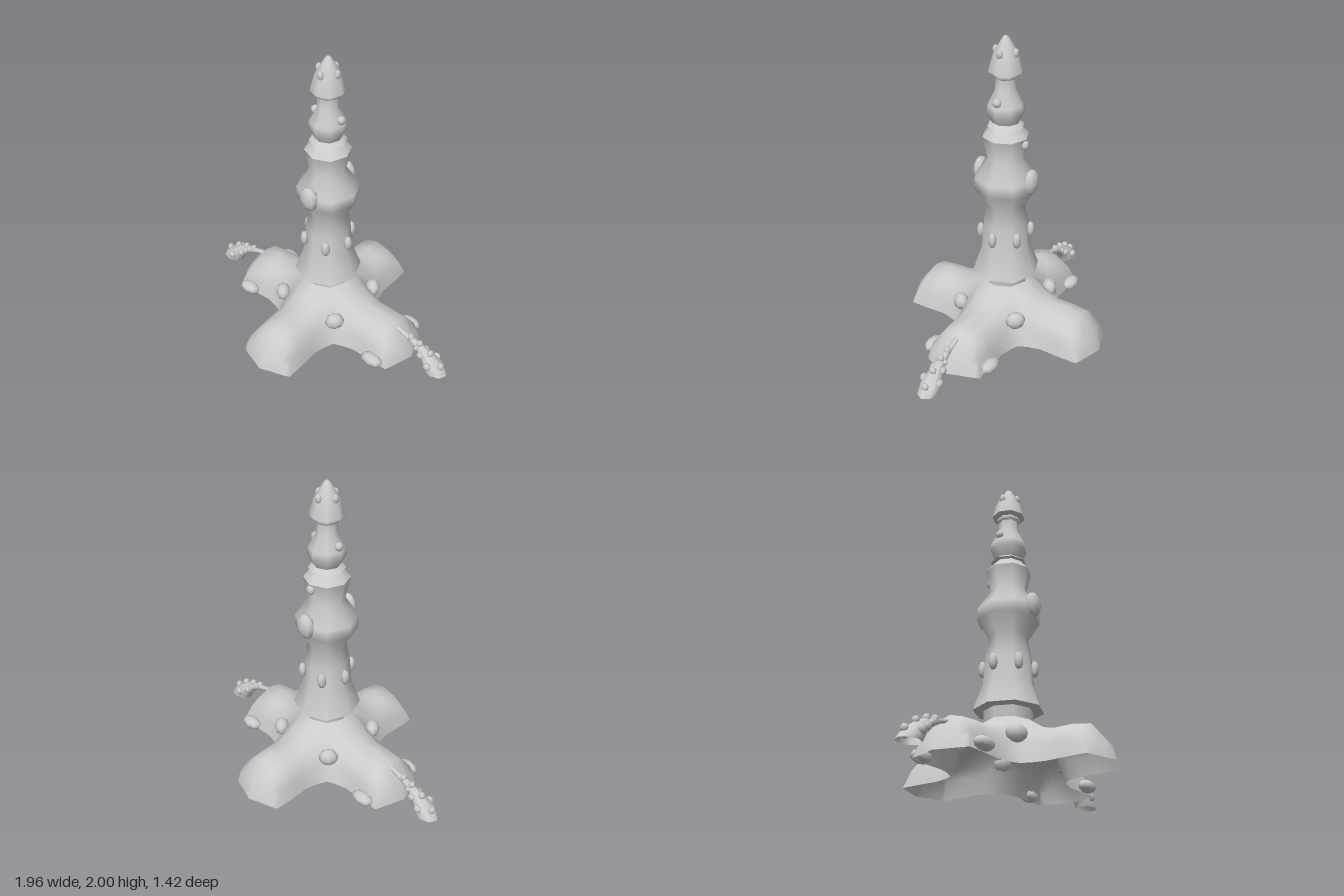
import * as THREE from 'three';
import { mergeVertices } from 'three/addons/utils/BufferGeometryUtils.js';

const material = new THREE.MeshStandardMaterial({ color: 0xcccccc, side: THREE.DoubleSide });

function addMesh(parent, name, geometry) {
  const mesh = new THREE.Mesh(geometry, material);
  mesh.name = name;
  parent.add(mesh);
  return mesh;
}

// Smooth surface from grids of points: grids[g][row][column] = [x, y, z]
function gridGeometry(grids) {
  const pos = [];
  for (const rows of grids) {
    for (let i = 0; i < rows.length - 1; i++) {
      for (let j = 0; j < rows[i].length - 1; j++) {
        const a = rows[i][j], b = rows[i + 1][j], c = rows[i + 1][j + 1], d = rows[i][j + 1];
        pos.push(...a, ...b, ...d, ...b, ...c, ...d);
      }
    }
  }
  const raw = new THREE.BufferGeometry();
  raw.setAttribute('position', new THREE.Float32BufferAttribute(pos, 3));
  const geometry = mergeVertices(raw, 1e-3);
  geometry.computeVertexNormals();
  return geometry;
}

// Eight-sided turned part, profile listed bottom to top as [radius, height]
function turned(parent, name, profile) {
  const points = profile.map(([r, y]) => new THREE.Vector2(r, y));
  addMesh(parent, name, new THREE.LatheGeometry(points, 8));
}

// Low-poly wart, turned to face outward
const wartGeometry = new THREE.SphereGeometry(1, 8, 6);
function wart(parent, [x, y, z], [w, h, d], facing = Math.atan2(x, z)) {
  const mesh = addMesh(parent, 'wart', wartGeometry);
  mesh.position.set(x, y, z);
  mesh.scale.set(w, h, d);
  mesh.rotation.y = facing;
}

// Half cross-sections of one foot lobe, from the tower outward; ridge first, ground last
const LOBE = [
  [[0, 0.34, 0.15], [0.106, 0.34, 0.106], [0.155, 0.26, 0.155], [0.2, 0.16, 0.2], [0.24, 0, 0.24]],
  [[0, 0.27, 0.25], [0.09, 0.255, 0.25], [0.15, 0.2, 0.26], [0.185, 0.12, 0.28], [0.215, 0, 0.3]],
  [[0, 0.245, 0.36], [0.09, 0.22, 0.36], [0.14, 0.17, 0.36], [0.17, 0.1, 0.37], [0.195, 0, 0.38]],
  [[0, 0.255, 0.45], [0.09, 0.22, 0.45], [0.14, 0.17, 0.46], [0.175, 0.11, 0.48], [0.2, 0, 0.5]],
  [[0, 0.235, 0.565], [0.085, 0.21, 0.565], [0.13, 0.17, 0.575], [0.17, 0.11, 0.6], [0.2, 0, 0.64]],
  [[0, 0.12, 0.66], [0.08, 0.11, 0.65], [0.13, 0.09, 0.64], [0.172, 0.06, 0.63], [0.2, 0, 0.64]],
  [[0, 0, 0.71], [0.07, 0, 0.685], [0.12, 0, 0.67], [0.165, 0, 0.655], [0.2, 0, 0.64]],
];

// Four-lobed hollow foot
function makeFoot() {
  const foot = new THREE.Group();
  foot.name = 'foot';
  let lobe = LOBE.map((half) => [
    ...half.slice(1).reverse().map(([x, y, z]) => [-x, y, z]),
    ...half,
  ]);
  const lobes = [];
  for (let k = 0; k < 4; k++) {
    lobes.push(lobe);
    lobe = lobe.map((row) => row.map(([x, y, z]) => [z, y, -x]));
  }
  addMesh(foot, 'footShell', gridGeometry(lobes));
  for (const sx of [-1, 1]) {
    for (const sz of [-1, 1]) {
      wart(foot, [sx * 0.225, 0.185, sz * 0.21], [0.065, 0.057, 0.05]);
      wart(foot, [sx * 0.54, 0.04, sz * 0.215], [0.08, 0.04, 0.048], sz > 0 ? 0 : Math.PI);
    }
  }
  return foot;
}

// Tower of stacked eight-sided tiers
function makeTower() {
  const tower = new THREE.Group();
  tower.name = 'tower';
  turned(tower, 'neck', [[0.15, 0.33], [0.155, 0.42]]);
  turned(tower, 'skirtUnderside', [[0.15, 0.41], [0.22, 0.415]]);
  turned(tower, 'lowerTier', [[0.22, 0.415], [0.16, 0.58], [0.147, 0.76], [0.125, 0.89],
    [0.2, 1.01], [0.2, 1.09], [0.115, 1.22], [0.147, 1.365]]);
  turned(tower, 'shoulder', [[0.147, 1.365], [0.09, 1.43]]);
  turned(tower, 'collarUnderside', [[0.08, 1.425], [0.117, 1.432]]);
  turned(tower, 'collar', [[0.117, 1.432], [0.085, 1.457]]);
  turned(tower, 'upperTier', [[0.085, 1.455], [0.12, 1.52], [0.116, 1.57], [0.065, 1.67], [0.063, 1.75]]);
  turned(tower, 'upperRing', [[0.06, 1.735], [0.074, 1.745], [0.074, 1.765], [0.06, 1.778]]);
  turned(tower, 'capUnderside', [[0.05, 1.765], [0.108, 1.78]]);
  turned(tower, 'cap', [[0.108, 1.78], [0.102, 1.805], [0.078, 1.89], [0.04, 1.955], [0.015, 1.993], [0, 2]]);

  for (const s of [-1, 1]) {
    wart(tower, [0, 1.085, s * 0.185], [0.067, 0.085, 0.042]);
    wart(tower, [s * 0.165, 0.69, 0], [0.028, 0.055, 0.028]);
    for (const t of [-1, 1]) wart(tower, [s * 0.088, 0.69, t * 0.135], [0.03, 0.055, 0.026]);
    wart(tower, [s * 0.1, 1.605, 0], [0.028, 0.028, 0.026]);
    wart(tower, [0, 1.9, s * 0.07], [0.022, 0.03, 0.018]);
    wart(tower, [s * 0.07, 1.9, 0], [0.022, 0.03, 0.018]);
  }
  wart(tower, [0, 1.325, -0.14], [0.03, 0.032, 0.022]);
  return tower;
}

// Drooping tentacle along +x; each ring is [lower x, lower y, upper x, upper y, half width]
function makeTentacle(name) {
  const tentacle = new THREE.Group();
  tentacle.name = name;
  const rings = [
    [0.57, 0.18, 0.58, 0.21, 0.018], [0.64, 0.165, 0.65, 0.19, 0.02],
    [0.73, 0.115, 0.76, 0.165, 0.026], [0.78, 0.065, 0.85, 0.125, 0.042],
    [0.805, 0.03, 0.93, 0.065, 0.068], [0.815, 0, 0.98, 0, 0.065],
  ];
  const rows = rings.map(([lx, ly, ux, uy, w]) => Array.from({ length: 9 }, (_, k) => {
    const a = (k % 8) * Math.PI / 4, t = (1 + Math.cos(a)) / 2;
    return [lx + (ux - lx) * t, ly + (uy - ly) * t, -w * Math.sin(a)];
  }));
  addMesh(tentacle, 'tentacleArm', gridGeometry([rows]));
  const r = [0.025, 0.025, 0.02];
  const ridge = [[0.695, 0.175], [0.765, 0.16], [0.85, 0.125], [0.935, 0.06]];
  for (const [x, y] of ridge) wart(tentacle, [x, y, 0], r);
  for (const s of [-1, 1]) {
    wart(tentacle, [0.755, 0.132, s * 0.024], [0.02, 0.02, 0.015]);
    wart(tentacle, [0.795, 0.1, s * 0.038], [0.025, 0.025, 0.018], 0);
    wart(tentacle, [0.865, 0.06, s * 0.06], [0.028, 0.028, 0.02], 0);
  }
  return tentacle;
}

export function createModel() {
  const model = new THREE.Group();
  model.name = 'tentacledTower';
  const right = makeTentacle('rightTentacle');
  right.rotation.y = Math.PI;
  model.add(makeFoot(), makeTower(), makeTentacle('leftTentacle'), right);
  return model;
}
